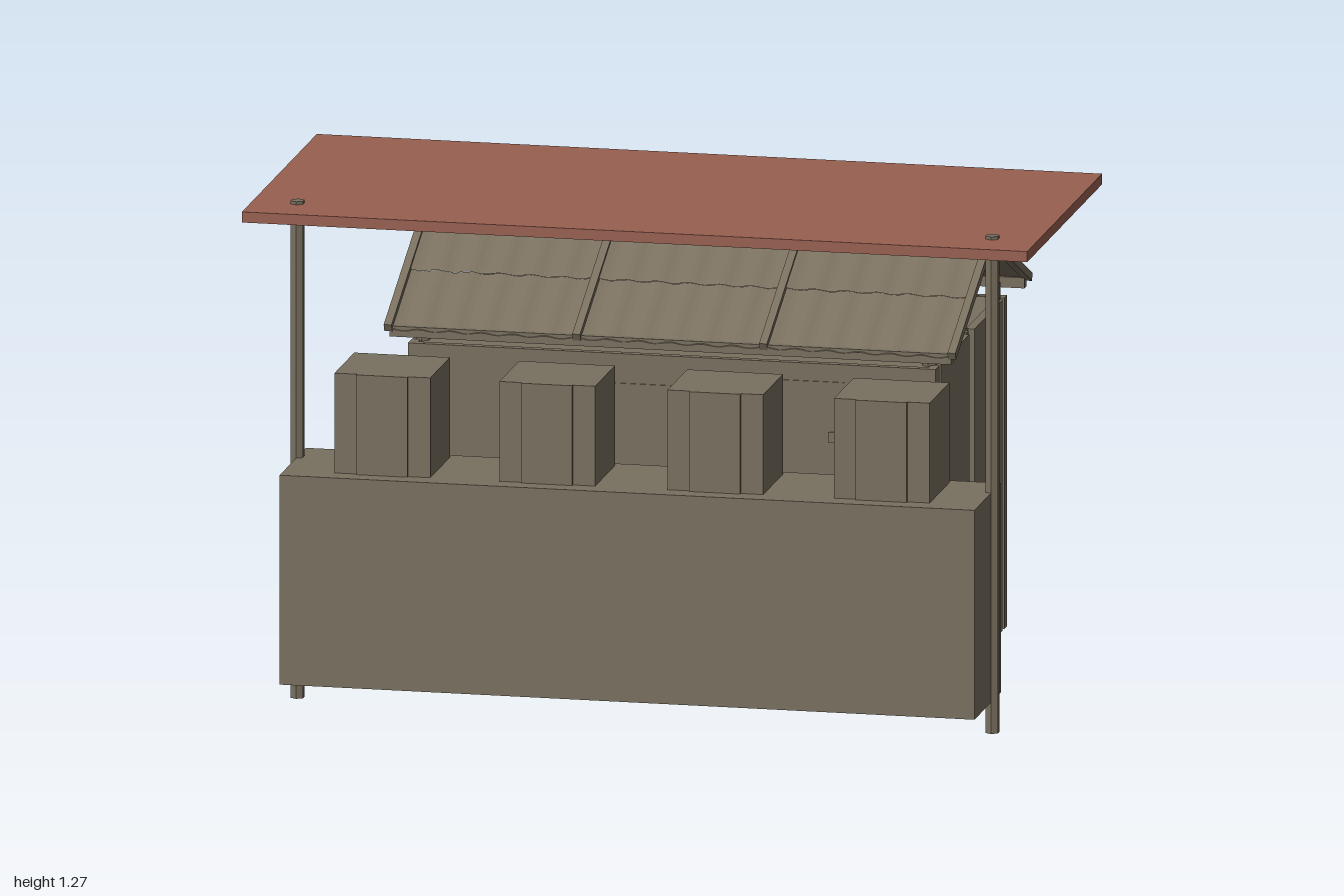
import * as THREE from 'three';

export function createModel() {
  const model = new THREE.Group();
  const stone = new THREE.MeshStandardMaterial({ color: 0x786f5e, flatShading: true });
  stone.name = 'weathered grey';
  const sheetMat = new THREE.MeshStandardMaterial({ color: 0x786f5e, side: THREE.DoubleSide, flatShading: true });
  sheetMat.name = 'weathered grey sheet';
  const red = new THREE.MeshStandardMaterial({ color: 0x985f50, flatShading: true });
  red.name = 'canopy red';

  const add = (name, geo, parent = model, mat = stone) => {
    const m = new THREE.Mesh(geo, mat);
    m.name = name;
    parent.add(m);
    return m;
  };
  // box from its minimum and maximum on each axis
  const box = (name, x0, x1, y0, y1, z0, z1, parent = model, mat = stone) => {
    const m = add(name, new THREE.BoxGeometry(x1 - x0, y1 - y0, z1 - z0), parent, mat);
    m.position.set((x0 + x1) / 2, (y0 + y1) / 2, (z0 + z1) / 2);
    return m;
  };
  const post = (name, x, z, r, h, parent = model) => {
    const m = add(name, new THREE.CylinderGeometry(r, r, h, 6), parent);
    m.position.set(x, h / 2, z);
    return m;
  };
  // horizontal beam along x
  const beam = (name, length, r, sides, y, z, parent = model) => {
    const geo = new THREE.CylinderGeometry(r, r, length, sides);
    geo.rotateZ(Math.PI / 2);
    const m = add(name, geo, parent);
    m.position.set(0, y, z);
    return m;
  };

  // Canopy on two poles
  box('canopy', -1, 1, 1.235, 1.262, -0.26, 0.605, model, red);
  for (const s of [-1, 1]) post('canopyPole', s * 0.885, 0.485, 0.018, 1.27);

  // Counter with four crates, each with a raised front panel
  box('counter', -0.885, 0.885, 0.08, 0.615, 0.388, 0.692);
  for (const x of [-0.635, -0.215, 0.213, 0.637]) {
    box('crate', x - 0.122, x + 0.122, 0.615, 0.87, 0.41, 0.638);
    box('cratePanel', x - 0.065, x + 0.065, 0.615, 0.87, 0.637, 0.645);
  }

  // Low box and wheel behind the counter
  box('lowBox', -0.635, -0.385, 0.055, 0.33, 0.2, 0.435);
  const wheel = add('wheel', new THREE.TorusGeometry(0.1, 0.04, 4, 8));
  wheel.rotation.z = Math.PI / 8;
  wheel.position.set(0.52, 0.15, 0.258);

  // Hut body
  const hut = new THREE.Group();
  hut.name = 'hut';
  model.add(hut);
  box('hutBody', -0.655, 0.655, 0, 0.843, -0.637, 0.16, hut);
  for (const s of [-1, 1]) {
    const a = s * 0.65, b = s * 0.672;
    for (const [z0, z1] of [[0.128, 0.165], [-0.215, 0.112], [-0.6, -0.275], [-0.65, -0.618]])
      box('sideWallPanel', Math.min(a, b), Math.max(a, b), 0, 0.845, z0, z1, hut);
    for (const z of [0.12, -0.61]) post('cornerPost', s * 0.645, z, 0.019, 0.885, hut);
    post('middlePost', s * 0.645, -0.245, 0.019, 0.845, hut);
  }
  box('frontWall', -0.672, 0.672, 0, 0.845, 0.155, 0.175, hut);
  for (let i = 0; i < 4; i++) {
    const x = -0.665 + i * 0.3325;
    box('backWallPanel', x + 0.004, x + 0.3285, 0, 0.845, -0.65, -0.63, hut);
  }

  // Door, window and handles on the front wall
  box('door', 0.2, 0.44, 0.03, 0.8, 0.174, 0.178, hut);
  box('window', -0.17, 0.17, 0.45, 0.77, 0.174, 0.178, hut);
  for (const y of [0.44, 0.66]) box('doorHinge', 0.4, 0.45, y - 0.013, y + 0.013, 0.174, 0.183, hut);
  for (const x of [-0.355, 0.342]) box('wallBatten', x - 0.006, x + 0.006, 0.63, 0.8, 0.174, 0.179, hut);

  // Corrugated roof: three bays on each slope, two sheets per bay
  const roof = new THREE.Group();
  roof.name = 'roof';
  roof.position.set(0, 1.085, -0.245);
  model.add(roof);
  const sheet = (w, len) => {
    const geo = new THREE.PlaneGeometry(w, len, 36, 1);
    geo.rotateX(-Math.PI / 2);
    const p = geo.attributes.position;
    for (let i = 0; i < p.count; i++) p.setY(i, 0.003 * Math.cos(p.getX(i) * 2 * Math.PI / 0.08));
    return geo;
  };
  for (const turn of [0, Math.PI]) {
    const slope = new THREE.Group();
    slope.name = turn ? 'backSlope' : 'frontSlope';
    slope.rotation.order = 'YXZ';
    slope.rotation.set(0.427, turn, 0);
    roof.add(slope);
    for (const x of [-0.48, 0, 0.48]) {
      add('upperRoofSheet', sheet(0.48, 0.245), slope, sheetMat).position.set(x, 0.004, 0.125);
      add('lowerRoofSheet', sheet(0.48, 0.245), slope, sheetMat).position.set(x, -0.003, 0.362);
    }
    for (const x of [-0.718, -0.238, 0.238, 0.718])
      box('rafter', x - 0.01, x + 0.01, -0.008, 0.012, 0, 0.485, slope);
    beam('eaveBeam', 1.43, 0.019, 4, -0.014, 0.472, slope).rotation.x = 0.36;
  }
  beam('ridgeBeam', 1.43, 0.026, 6, 0.002, 0, roof);

  return model;
}
